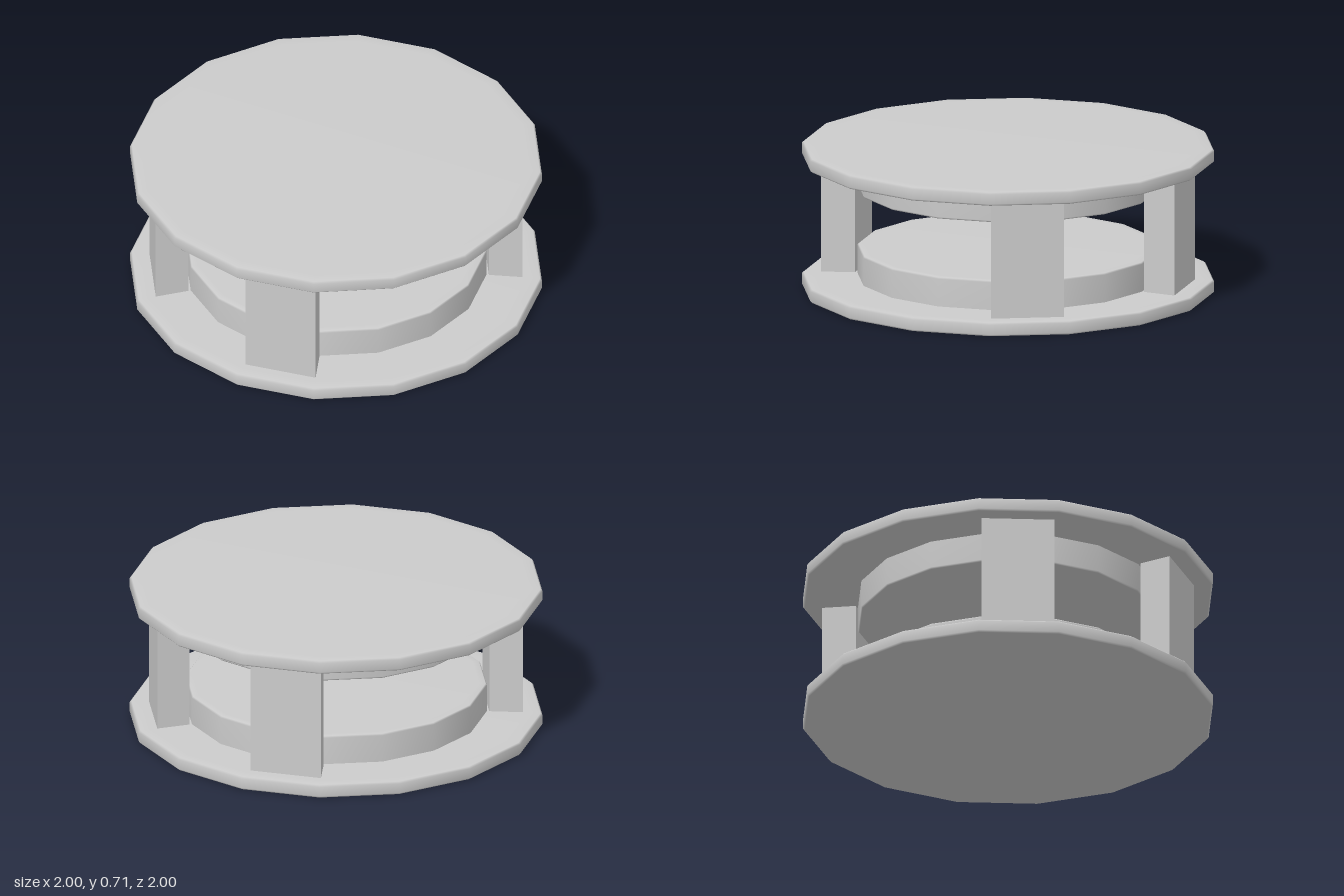
import * as THREE from 'three';

const SIDES = 16, HEIGHT = 0.715, PLATE = 0.068;
const material = new THREE.MeshStandardMaterial({ color: 0xcccccc });

// Sixteen-sided solid of revolution, profile listed from bottom to top
function turned(name, profile) {
  const points = profile.map(([r, y]) => new THREE.Vector2(r, y));
  const mesh = new THREE.Mesh(new THREE.LatheGeometry(points, SIDES), material);
  mesh.name = name;
  return mesh;
}

// One end of the spool: wide rounded plate with a smaller drum on its inner face
function createEnd(name) {
  const end = new THREE.Group();
  end.name = name;
  end.add(turned('plate', [
    [0, 0], [0.93, 0], [0.99, 0.001], [0.999, 0.01],
    [0.999, PLATE - 0.01], [0.99, PLATE - 0.001], [0.93, PLATE], [0, PLATE],
  ]));
  end.add(turned('drum', [
    [0.73, PLATE - 0.01], [0.73, 0.204], [0.724, 0.212], [0.69, 0.213], [0, 0.213],
  ]));
  return end;
}

// Post filling one sector of the sixteen-sided ring between the plates
function createPost(startAngle) {
  const inner = 0.742, outer = 0.906, step = (Math.PI * 2) / SIDES;
  const corner = (r, a) => new THREE.Vector2(r * Math.cos(a), r * Math.sin(a));
  const section = new THREE.Shape([
    corner(inner, startAngle), corner(outer, startAngle),
    corner(outer, startAngle + step), corner(inner, startAngle + step),
  ]);
  const geometry = new THREE.ExtrudeGeometry(section, {
    depth: HEIGHT - 2 * PLATE + 0.02, bevelEnabled: false,
  });
  geometry.rotateX(-Math.PI / 2);
  geometry.translate(0, PLATE - 0.01, 0);
  return new THREE.Mesh(geometry, material);
}

export function createModel() {
  const model = new THREE.Group();
  model.name = 'spool';

  // Matching ends, the top one turned upside down
  const top = createEnd('topEnd');
  top.rotation.x = Math.PI;
  top.position.y = HEIGHT;
  model.add(createEnd('bottomEnd'), top);

  // Four posts, mirrored left to right and front to back
  const posts = { backLeftPost: 22.5, backRightPost: 135, frontRightPost: 202.5, frontLeftPost: 315 };
  for (const [name, degrees] of Object.entries(posts)) {
    const post = createPost(THREE.MathUtils.degToRad(degrees));
    post.name = name;
    model.add(post);
  }
  return model;
}
